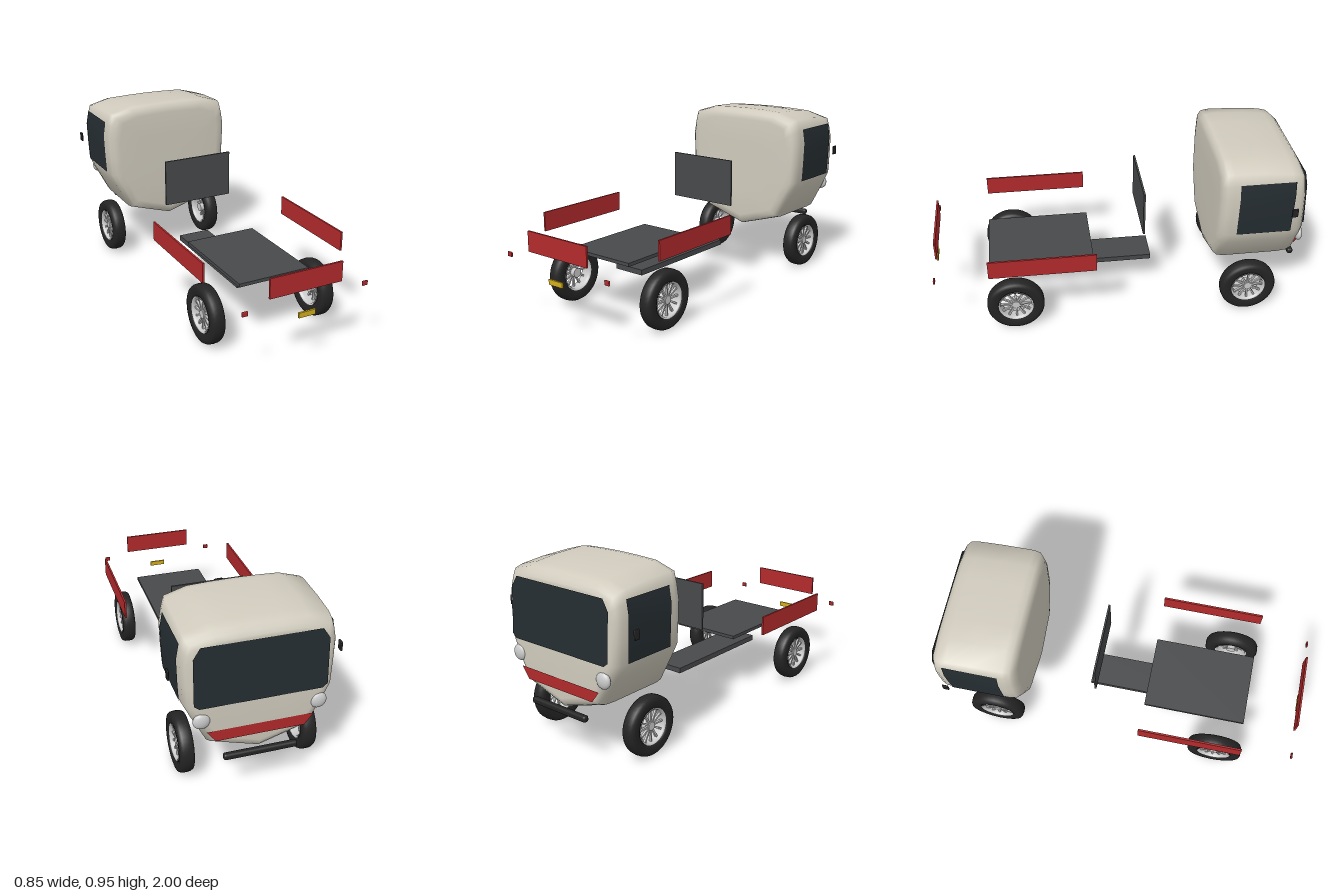
import * as THREE from 'three';
import { RoundedBoxGeometry } from 'three/addons/geometries/RoundedBoxGeometry.js';

const mat = (color, side = THREE.FrontSide) => new THREE.MeshStandardMaterial({ color, side });
const paint = mat(0xd0cbbd);
const red = mat(0xb32a2c);
const redSheet = mat(0xb32a2c, THREE.DoubleSide);
const dark = mat(0x48494b);
const black = mat(0x242424);
const glass = mat(0x252d31, THREE.DoubleSide);
const metal = mat(0xcccccc, THREE.DoubleSide);
const yellow = mat(0xd4ae1c);

function add(parent, name, geometry, material, x = 0, y = 0, z = 0) {
  const mesh = new THREE.Mesh(geometry, material);
  mesh.name = name;
  mesh.position.set(x, y, z);
  parent.add(mesh);
  return mesh;
}

// Box given by its limits on each axis
function boxBetween(parent, name, material, [x0, x1], [y0, y1], [z0, z1], radius = 0) {
  const size = [x1 - x0, y1 - y0, z1 - z0];
  const geo = radius ? new RoundedBoxGeometry(...size, 3, radius) : new THREE.BoxGeometry(...size);
  return add(parent, name, geo, material, (x0 + x1) / 2, (y0 + y1) / 2, (z0 + z1) / 2);
}

// Half outline of the cab, from roof centre to keel
const half = [[0, 0.947], [0.12, 0.945], [0.235, 0.94], [0.35, 0.905], [0.366, 0.84], [0.377, 0.77],
  [0.373, 0.655], [0.366, 0.54], [0.33, 0.465], [0.255, 0.32], [0.13, 0.28], [0, 0.24]];
const outline = [...half, ...half.slice(1, -1).reverse().map(([x, y]) => [-x, y])];

// The front face leans back above the headlights
const frontLean = (y) => 0.055 * Math.max(0, y - 0.5);

function cabGeometry() {
  // z, inset of the outline, drop of the roof
  const rings = [[-0.505, 0.36, 0], [-0.505, 0.2, 0], [-0.506, 0.06, 0], [-0.515, 0.025, 0], [-0.535, 0.006, 0],
    [-0.57, 0, 0], [-0.74, 0, 0.006], [-0.87, 0, 0.022], [-0.925, 0.004, 0.032], [-0.955, 0.018, 0.04],
    [-0.97, 0.038, 0.04], [-0.974, 0.06, 0.03], [-0.975, 0.2, 0], [-0.975, 0.36, 0]];
  const pos = [], index = [], n = outline.length;
  rings.forEach(([z, inset, drop], r) => {
    outline.forEach(([x, y], i) => {
      const k = 1 - inset / 0.362;
      const top = Math.max(0, (y - 0.75) / 0.2);
      const py = 0.6 + (y - 0.6) * k - drop * top;
      const lean = z < -0.9 ? frontLean(py) * Math.min(1, (-z - 0.9) / 0.07) : 0;
      pos.push(x * k, py, z + lean);
      if (r === 0) return;
      const a = (r - 1) * n + i, b = (r - 1) * n + (i + 1) % n;
      index.push(a, a + n, b, b, a + n, b + n);
    });
  });
  // end caps
  for (let i = 1; i < n - 1; i++) {
    const f = (rings.length - 1) * n;
    index.push(0, i, i + 1, f, f + i + 1, f + i);
  }
  const geo = new THREE.BufferGeometry();
  geo.setAttribute('position', new THREE.Float32BufferAttribute(pos, 3));
  geo.setIndex(index);
  // wind the faces outwards
  const a = 6 * n + 5, p = (i) => new THREE.Vector3(...pos.slice(i * 3, i * 3 + 3));
  const normal = p(a + n).sub(p(a)).cross(p(a + 1).sub(p(a)));
  if (normal.x < 0) geo.setIndex(index.map((v, i) => index[i % 3 === 1 ? i + 1 : i % 3 === 2 ? i - 1 : i]));
  geo.computeVertexNormals();
  return geo;
}

// Flat sheet laid against the leaning front face
function frontSheet(points) {
  const geo = new THREE.ShapeGeometry(new THREE.Shape(points.map(([x, y]) => new THREE.Vector2(x, y))));
  const p = geo.attributes.position;
  for (let i = 0; i < p.count; i++) p.setZ(i, -0.979 + frontLean(p.getY(i)));
  geo.computeVertexNormals();
  return geo;
}

// Window following the bulge of the cab side
function sideWindow(side) {
  const ys = [0.545, 0.655, 0.77, 0.85], xs = [0.367, 0.373, 0.377, 0.364];
  const geo = new THREE.PlaneGeometry(1, 1, 1, 3);
  const p = geo.attributes.position;
  for (let i = 0; i < p.count; i++) {
    const row = 3 - Math.floor(i / 2);
    p.setXYZ(i, side * (xs[row] + 0.004), ys[row], i % 2 ? -0.89 : -0.6);
  }
  geo.computeVertexNormals();
  return geo;
}

function makeWheel() {
  const wheel = new THREE.Group();
  const v = (x, y) => new THREE.Vector2(x, y);
  const tyre = new THREE.LatheGeometry([v(0.094, -0.03), v(0.105, -0.036), v(0.13, -0.038), v(0.146, -0.034),
    v(0.153, -0.022), v(0.155, 0), v(0.153, 0.022), v(0.146, 0.034), v(0.13, 0.038), v(0.105, 0.036),
    v(0.094, 0.03), v(0.094, -0.03)], 40);
  add(wheel, 'tyre', tyre, black);
  const rim = new THREE.LatheGeometry([v(0.094, -0.032), v(0.085, -0.029), v(0.083, -0.015),
    v(0.083, 0.015), v(0.085, 0.029), v(0.094, 0.032)], 40);
  add(wheel, 'rim', rim, metal);
  add(wheel, 'hub', new THREE.CylinderGeometry(0.022, 0.026, 0.046, 20), metal);
  for (let i = 0; i < 12; i++) {
    const a = (i / 12) * Math.PI * 2;
    const spoke = add(wheel, 'spoke', new THREE.BoxGeometry(0.068, 0.012, 0.009), metal,
      Math.cos(a) * 0.052, 0.012, Math.sin(a) * 0.052);
    spoke.rotation.y = -a;
  }
  return wheel;
}

export function createModel() {
  const model = new THREE.Group();
  model.name = 'flatbedTruck';

  // Cab with its glass and front stripe
  const cab = new THREE.Group();
  cab.name = 'cab';
  model.add(cab);
  add(cab, 'cabBody', cabGeometry(), paint);
  add(cab, 'windscreen', frontSheet([[-0.325, 0.56], [-0.3, 0.54], [0.3, 0.54], [0.325, 0.56],
    [0.325, 0.8], [0.29, 0.855], [-0.29, 0.855], [-0.325, 0.8]]), glass);
  add(cab, 'frontStripe', frontSheet([[-0.22, 0.345], [0.22, 0.345], [0.265, 0.405], [-0.265, 0.405]]), redSheet);
  boxBetween(cab, 'bumper', black, [-0.185, 0.185], [0.232, 0.265], [-1, -0.968], 0.012);

  // Load bed, chassis and boards
  boxBetween(model, 'bed', dark, [-0.2, 0.2], [0.332, 0.35], [0.14, 0.705]);
  boxBetween(model, 'chassis', dark, [-0.09, 0.09], [0.204, 0.233], [-0.195, 0.49]);
  boxBetween(model, 'headboard', dark, [-0.2, 0.2], [0.465, 0.72], [-0.142, -0.132]);
  boxBetween(model, 'tailgate', red, [-0.2, 0.2], [0.4, 0.505], [0.975, 0.985]);
  boxBetween(model, 'numberPlate', yellow, [-0.046, 0.046], [0.27, 0.297], [0.99, 1]);

  // Paired parts
  for (const s of [1, -1]) {
    const span = (a, b) => (s > 0 ? [a, b] : [-b, -a]);
    add(cab, 'sideWindow', sideWindow(s), glass);
    boxBetween(cab, 'mirror', black, span(0.416, 0.426), [0.67, 0.72], [-0.9, -0.867], 0.004);
    const lamp = add(cab, 'headlight', new THREE.SphereGeometry(0.042, 24, 16), metal, s * 0.287, 0.467, -0.967);
    lamp.scale.z = 0.5;
    boxBetween(model, 'sideBoard', red, span(0.39, 0.4), [0.402, 0.505], [0.14, 0.705]);
    boxBetween(model, 'tailLight', red, span(0.318, 0.349), [0.349, 0.374], [0.985, 0.995], 0.004);
    for (const z of [0.577, -0.705]) {
      const wheel = makeWheel();
      wheel.name = z > 0 ? 'rearWheel' : 'frontWheel';
      wheel.rotation.z = -s * Math.PI / 2;
      wheel.position.set(s * 0.318, 0.157, z);
      model.add(wheel);
    }
  }
  return model;
}
